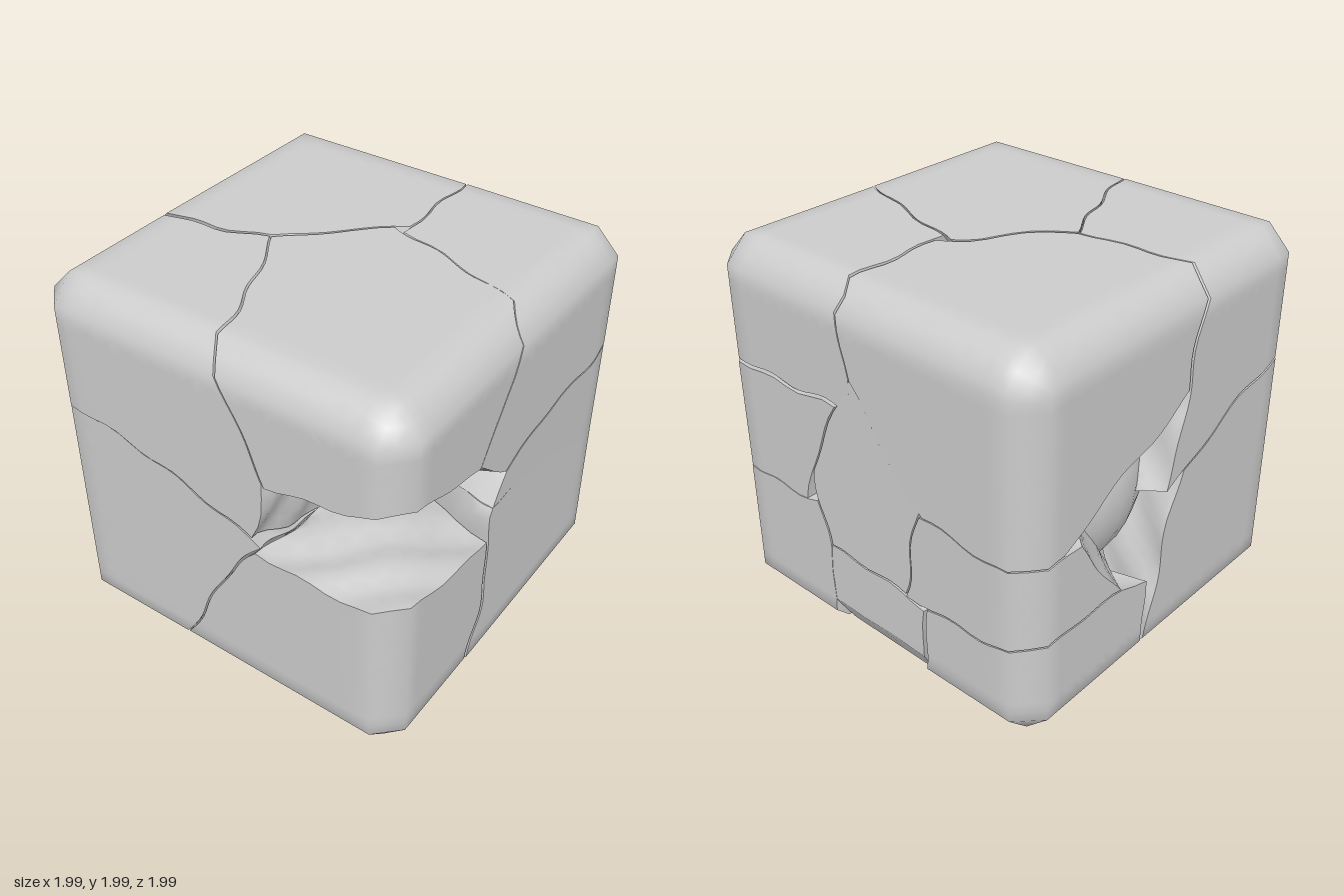
import * as THREE from 'three';
import { mergeGeometries, toCreasedNormals } from 'three/addons/utils/BufferGeometryUtils.js';

const HALF = 0.975, BEVEL = 0.12;
const V = (x, y, z) => new THREE.Vector3(x, y, z);

// Fracture planes, each through three points (block centred on the origin)
const CUTS = {
  topLeft: [[-.97, 1, .03], [-.13, 1, -.3], [-.97, .4, .28]],
  topMiddle: [[-.13, 1, -.3], [.32, 1, .18], [.32, 0, .18]],
  topFront: [[.06, 1, .97], [-.35, .4, .97], [.28, 1, .18]],
  topBack: [[-.24, 1, -.97], [-.05, .3, -.97], [-.13, 1, -.3]],
  topRight: [[.32, 1, .18], [.98, 1, .11], [.98, 0, .08]],
  notchRoof: [[-.97, .5, .97], [-.35, .37, .97], [-.5, .28, .2]],
  notchFloor: [[-.97, -.06, .97], [-.3, -.11, .97], [-.5, -.03, .2]],
  notchBack: [[-.97, .4, .28], [-.97, 0, .2], [-.15, .2, .3]],
  notchSide: [[-.08, .2, .97], [-.25, -.1, .97], [-.15, .1, .2]],
  notchTip: [[-.35, .38, .97], [-.08, .2, .97], [-.3, .2, .3]],
  frontLower: [[-.33, -1, .97], [-.2, -.1, .97], [-.2, -1, .1]],
  frontUpper: [[-.08, .2, .97], [.97, .4, .97], [.97, .37, .2]],
  frontMiddle: [[-.1, .05, .97], [.97, -.2, .97], [.97, -.2, .2]],
  sideMiddle: [[.97, .55, .1], [.97, -.05, .33], [.3, 0, .1]],
  sideLower: [[.97, -.1, .32], [.97, -1, .28], [.2, -.5, .15]],
  sideSlant: [[.97, .55, .1], [.97, .02, -.37], [.3, .35, -.1]],
  sideBack: [[.97, 0, -.33], [.97, -1, -.33], [.3, -.5, -.25]],
  sideBulge: [[.97, 0, -.34], [.97, -.5, -.2], [.3, -.2, -.2]],
  sideSplit: [[.97, -.45, .3], [.97, -.5, -.3], [.4, -.45, 0]],
  sideInner: [[.45, -1, -.5], [.45, 1, 0], [.45, -1, .5]],
  sideFoot: [[.97, -.8, 0], [.85, -1, .3], [.85, -1, -.3]],
  rearRightUpper: [[.97, .02, -.35], [.97, 0, -.97], [.3, 0, -.5]],
  rearRightLower: [[.97, -.5, -.2], [.97, -.42, -.97], [.3, -.5, -.5]],
  hollowTop: [[.65, .05, -.97], [-.05, .42, -.97], [.2, .2, -.3]],
  hollowRight: [[.7, .07, -.97], [.28, -.5, -.97], [.35, 0, -.6]],
  hollowBottom: [[.15, -.5, -.97], [.2, -1, -.97], [.3, -.7, -.4]],
  hollowLeft: [[.2, -1, -.97], [-.07, -.07, -.97], [.1, -1, -.2]],
  leftUpper: [[-.97, .35, -.97], [-.97, .05, .25], [-.05, 0, -.97]],
  leftSlant: [[-.97, 0, .25], [-.97, -1, -.35], [-.2, -.5, 0]],
  // Slopes around the hollow underneath
  bellyBackRight: [[.95, -1, -.35], [.25, -1, -.95], [.35, -.6, -.35]],
  bellyFrontRight: [[-.3, -1, .3], [.7, -1, .35], [.2, -.7, -.05]],
  bellyFrontLeft: [[-.5, -1, -.1], [-.2, -1, .4], [0, -.7, 0]],
  bellyBackLeft: [[.1, -1, -.75], [-.4, -1, .1], [.1, -.75, -.1]],
};

// Each chunk: name, a point inside it, and the planes that bound it
const CHUNKS = [
  ['topFrontLeftChunk', [-.3, .8, .35], 'topLeft topMiddle topFront notchRoof'],
  ['topFrontRightChunk', [.6, .6, .6], 'topFront topRight frontUpper notchTip'],
  ['topBackLeftChunk', [-.6, .5, -.6], 'topLeft topBack leftUpper notchBack'],
  ['topBackRightChunk', [.6, .7, -.5], 'topMiddle topBack topRight sideSlant rearRightUpper hollowTop'],
  ['middleFrontChunk', [.6, .1, .7], 'frontUpper frontMiddle notchSide sideMiddle'],
  ['lowerFrontRightChunk', [.4, -.6, .7], 'frontMiddle notchSide frontLower sideLower bellyFrontRight'],
  ['lowerFrontLeftChunk', [-.6, -.6, .6], 'notchFloor frontLower leftSlant bellyFrontLeft'],
  ['rightSideChunk', [.85, -.1, 0], 'sideMiddle sideLower sideSlant sideBulge sideInner sideSplit'],
  ['rightFootChunk', [.8, -.7, 0], 'sideLower sideBack sideInner sideSplit sideFoot'],
  ['middleBackChunk', [.85, -.2, -.7], 'rearRightUpper sideBulge rearRightLower hollowRight'],
  ['lowerBackRightChunk', [.7, -.75, -.7], 'rearRightLower sideBack hollowBottom bellyBackRight'],
  ['lowerBackLeftChunk', [-.6, -.5, -.7], 'leftUpper leftSlant hollowLeft bellyBackLeft'],
];

// Faces, bevels and corners of the whole block
function blockPlanes() {
  const planes = [];
  const reach = [0, HALF, 2 * HALF - BEVEL, 3 * HALF - 2 * BEVEL];
  for (const x of [-1, 0, 1]) for (const y of [-1, 0, 1]) for (const z of [-1, 0, 1]) {
    const n = Math.abs(x) + Math.abs(y) + Math.abs(z);
    if (n) planes.push(new THREE.Plane(V(x, y, z).divideScalar(Math.sqrt(n)), -reach[n] / Math.sqrt(n)));
  }
  return planes;
}

function cutPlane(name, inside) {
  const plane = new THREE.Plane().setFromCoplanarPoints(...CUTS[name].map((p) => V(...p)));
  if (plane.distanceToPoint(inside) > 0) plane.negate();
  plane.constant += 0.004;
  return plane;
}

// Keep the part of a polygon behind a plane
function clip(poly, plane) {
  const out = [];
  poly.forEach((p, i) => {
    const q = poly[(i + 1) % poly.length];
    const dp = plane.distanceToPoint(p), dq = plane.distanceToPoint(q);
    if (dp <= 0) out.push(p);
    if (dp * dq < 0) out.push(p.clone().lerp(q, dp / (dp - dq)));
  });
  return out;
}

// Split long edges until the triangle is small enough to bend
function split(a, b, c, out) {
  const ab = a.distanceTo(b), bc = b.distanceTo(c), ca = c.distanceTo(a);
  const m = Math.max(ab, bc, ca);
  if (m < 0.09) { out.push(a, b, c); return; }
  if (bc === m) [a, b, c] = [b, c, a];
  else if (ca === m) [a, b, c] = [c, a, b];
  const mid = a.clone().add(b).multiplyScalar(0.5);
  split(a, mid, c, out);
  split(mid, b, c, out);
}

// Ripple the cracks sideways and swell the faces slightly, leaving the bevels in place
function ripple({ x, y, z }) {
  const hold = (t) => Math.max(0, 1 - Math.pow(Math.abs(t) / 0.84, 4));
  const move = (t, s, u, k) => t
    + hold(t) * (0.024 * Math.sin(6 * s + 4 * u + k) + 0.013 * Math.sin(17 * u - 14 * s + 2 * k))
    + t * 0.02 * hold(s) * hold(u) * Math.max(0, Math.sin(4 * s + 3 * u + k));
  return V(move(x, y, z, 1), move(y, x, z, 2.3), move(z, y, x, 4));
}

// Soft normals that turn gradually round the bevels
function softSkin(points) {
  const core = HALF - 0.2;
  const geometry = new THREE.BufferGeometry().setFromPoints(points);
  const normals = points.flatMap((p) =>
    p.clone().sub(p.clone().clampScalar(-core, core)).normalize().toArray());
  return geometry.setAttribute('normal', new THREE.Float32BufferAttribute(normals, 3));
}

function chunkGeometry(inside, names) {
  const outer = blockPlanes();
  const planes = [...outer, ...names.split(' ').map((n) => cutPlane(n, inside))];
  const skin = [], broken = [];
  planes.forEach((plane, index) => {
    const n = plane.normal;
    const u = V(0, 1, 0).cross(n);
    if (u.length() < 0.1) u.set(1, 0, 0).cross(n);
    u.normalize();
    const w = n.clone().cross(u);
    const c = n.clone().multiplyScalar(-plane.constant);
    let poly = [[-4, -4], [4, -4], [4, 4], [-4, 4]].map(([s, t]) =>
      c.clone().addScaledVector(u, s).addScaledVector(w, t));
    for (const other of planes) if (other !== plane && poly.length) poly = clip(poly, other);
    poly = poly.map((p) => p.multiplyScalar(1e4).round().divideScalar(1e4))
      .filter((p, i, all) => p.distanceTo(all[(i + 1) % all.length]) > 5e-4);
    const target = index < outer.length ? skin : broken;
    for (let i = 1; i < poly.length - 1; i++) split(poly[0], poly[i], poly[i + 1], target);
  });
  const inner = new THREE.BufferGeometry().setFromPoints(broken.map(ripple));
  const fractured = toCreasedNormals(inner, 0.8);
  return mergeGeometries([softSkin(skin.map(ripple)), fractured]);
}

export function createModel() {
  const group = new THREE.Group();
  group.name = 'crackedBlock';
  const material = new THREE.MeshStandardMaterial({ color: 0xcccccc });

  // Outer chunks, each settled at a very slight angle
  CHUNKS.forEach(([name, point, names], i) => {
    const mesh = new THREE.Mesh(chunkGeometry(V(...point), names), material);
    mesh.name = name;
    mesh.rotation.set(0.004 * Math.sin(i * 2.1), 0.004 * Math.sin(i * 3.7 + 1), 0.004 * Math.sin(i * 5.3 + 2));
    group.add(mesh);
  });

  // Rounded core showing through the missing pieces
  const core = new THREE.Mesh(new THREE.SphereGeometry(1, 32, 20), material);
  core.name = 'innerCore';
  core.scale.set(0.6, 0.68, 0.76);
  core.position.set(0.2, -0.05, -0.1);
  group.add(core);

  // Stand on the ground, centred
  const box = new THREE.Box3().setFromObject(group, true);
  const mid = box.getCenter(V(0, 0, 0));
  group.position.set(-mid.x, -box.min.y, -mid.z);
  return group;
}
